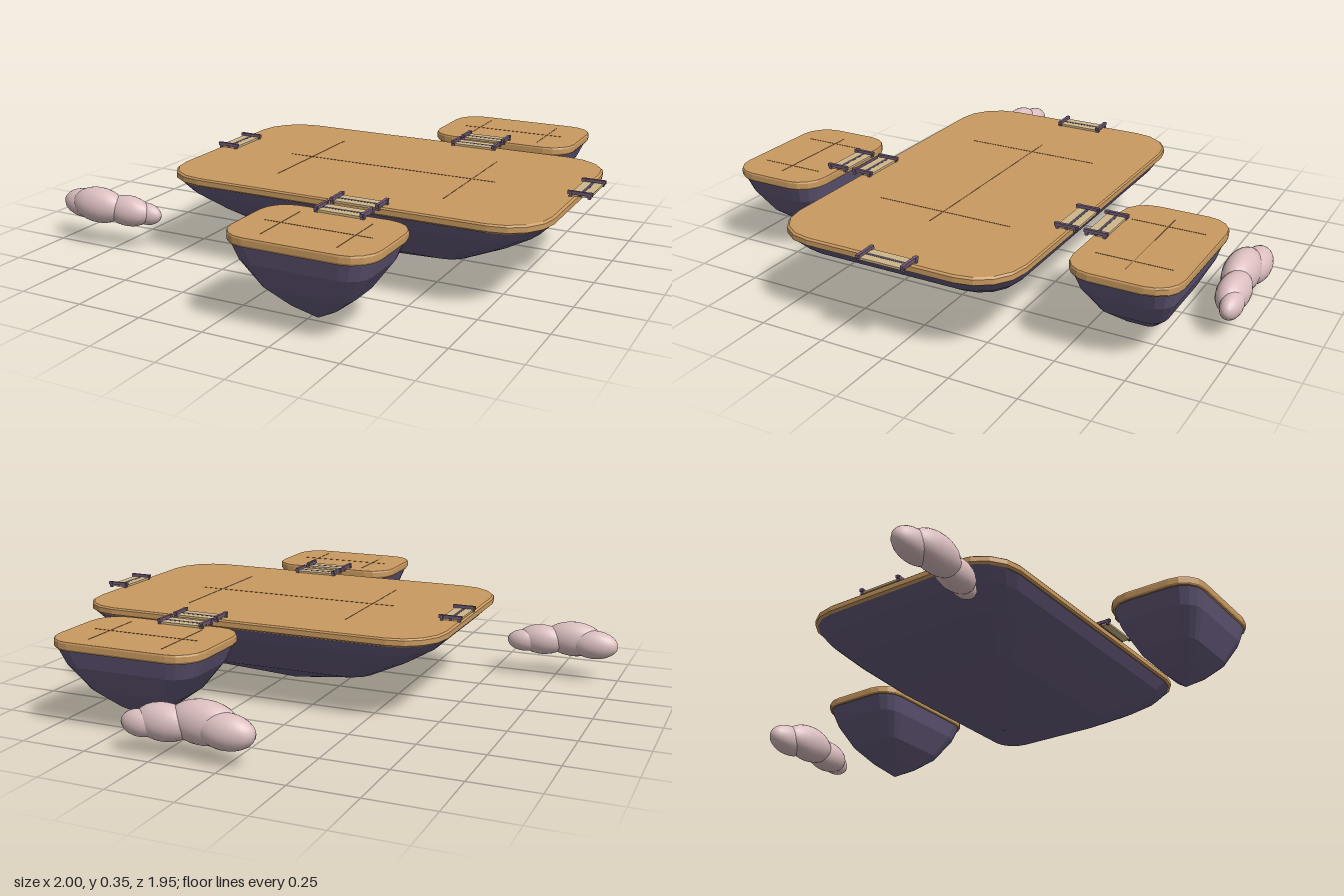
import * as THREE from 'three';

const mat = (name, color, extra = {}) => {
  const m = new THREE.MeshStandardMaterial({ color, ...extra });
  m.name = name;
  return m;
};

// Points of a rounded rectangle in the xz plane
function outline(w, d, r, seg = 4) {
  const pts = [];
  [[1, 1], [-1, 1], [-1, -1], [1, -1]].forEach(([sx, sz], q) => {
    for (let i = 0; i <= seg; i++) {
      const a = (q + i / seg) * Math.PI / 2;
      pts.push([sx * (w / 2 - r) + r * Math.cos(a), sz * (d / 2 - r) + r * Math.sin(a)]);
    }
  });
  return pts;
}

// Flat-shaded skin through scaled copies of an outline, listed from bottom to top as [scale, y]
function loft(pts, rings) {
  const pos = [];
  const at = (k, i) => {
    const [s, y] = rings[k], p = pts[i % pts.length];
    return [p[0] * s, y, p[1] * s];
  };
  for (let k = 0; k < rings.length - 1; k++) {
    for (let i = 0; i < pts.length; i++) {
      const a = at(k, i), b = at(k, i + 1), c = at(k + 1, i), d = at(k + 1, i + 1);
      if (rings[k + 1][0] > 0) pos.push(...b, ...c, ...d);
      if (rings[k][0] > 0) pos.push(...a, ...c, ...b);
      else if (rings[k + 1][0] === 0) continue;
    }
  }
  const g = new THREE.BufferGeometry();
  g.setAttribute('position', new THREE.Float32BufferAttribute(pos, 3));
  g.computeVertexNormals();
  return g;
}

export function createModel() {
  const model = new THREE.Group();
  const rock = mat('purple rock', 0x665b7c, { flatShading: true });
  const ground = mat('orange ground', 0xca9a60, { flatShading: true });
  const seam = mat('ground seam', 0x8a6440);
  const wood = mat('pale planks', 0xcfb688);
  const rail = mat('mauve rails', 0x705a74);
  const dark = mat('dark beam', 0x4d4758);
  const puff = mat('pink cloud', 0xdcbfc0);

  const add = (parent, name, geo, material, x = 0, y = 0, z = 0) => {
    const m = new THREE.Mesh(geo, material);
    m.name = name;
    m.position.set(x, y, z);
    parent.add(m);
    return m;
  };
  const box = (parent, name, w, h, d, material, x, y, z) =>
    add(parent, name, new THREE.BoxGeometry(w, h, d), material, x, y, z);

  // Floating islands: tapering rock under a ground slab
  function island(name, x, z, w, d, r, profile, seams) {
    const g = new THREE.Group();
    g.name = name;
    g.position.set(x, 0, z);
    const pts = outline(w, d, r);
    add(g, 'rock', loft(outline(w - 0.02, d - 0.02, r - 0.01), profile), rock);
    add(g, 'ground', loft(pts, [[0, 0.303], [0.985, 0.303], [1, 0.31], [1, 0.329], [0.99, 0.335], [0, 0.335]]), ground);
    // Thin seams: one lengthwise, two across
    const [half, across, len] = seams;
    box(g, 'longSeam', half * 2, 0.002, 0.003, seam, 0, 0.335, 0);
    for (const s of [-1, 1]) box(g, 'crossSeam', 0.003, 0.002, len, seam, s * across, 0.335, 0);
    model.add(g);
  }
  const broad = [[0, 0], [0.57, 0.11], [0.8, 0.197], [0.94, 0.26], [1, 0.304]];
  const steep = [[0, 0.03], [0.33, 0.08], [0.64, 0.145], [0.9, 0.24], [1, 0.304]];
  island('mainIsland', 0.21, 0.045, 1.46, 0.91, 0.17, broad, [0.42, 0.33, 0.53]);
  island('backIsland', 0.435, -0.695, 0.59, 0.39, 0.1, steep, [0.21, 0.148, 0.27]);
  island('frontIsland', 0.31, 0.787, 0.54, 0.37, 0.1, steep, [0.195, 0.135, 0.25]);

  // Bridge ends: planks between two rails, with a beam along the middle
  function bridgeEnd(x, z, turn) {
    const g = new THREE.Group();
    g.name = 'bridgeEnd';
    g.position.set(x, 0.335, z);
    g.rotation.y = turn;
    for (const s of [-1, 1]) {
      box(g, 'plank', 0.17, 0.008, 0.03, wood, 0, 0.005, s * 0.021);
      box(g, 'rail', 0.011, 0.012, 0.088, rail, s * 0.085, 0.014, 0);
      for (const t of [-1, 1]) box(g, 'post', 0.014, 0.022, 0.01, rail, s * 0.085, 0.009, t * 0.033);
    }
    box(g, 'beam', 0.17, 0.009, 0.012, dark, 0, 0.005, 0);
    model.add(g);
  }
  for (const z of [0.493, 0.605]) bridgeEnd(0.31, z, 0);
  for (const z of [-0.51, -0.4]) bridgeEnd(0.385, z, 0);
  for (const x of [-0.48, 0.952]) bridgeEnd(x, -0.003, Math.PI / 2);

  // Clouds: overlapping ellipsoids given as [x, y, z, rx, ry, rz]
  const puffs = [
    [-0.125, -0.01, -0.02, 0.095, 0.057, 0.05],
    [-0.04, 0, 0, 0.118, 0.07, 0.058],
    [0.085, -0.01, -0.017, 0.1, 0.06, 0.052],
    [0.155, -0.017, -0.035, 0.067, 0.043, 0.035],
  ];
  const ball = new THREE.SphereGeometry(1, 20, 14);
  function cloud(x, y, z, size) {
    const g = new THREE.Group();
    g.name = 'cloud';
    g.position.set(x, y, z);
    g.scale.setScalar(size);
    for (const [px, py, pz, rx, ry, rz] of puffs) add(g, 'puff', ball, puff, px, py, pz).scale.set(rx, ry, rz);
    model.add(g);
  }
  cloud(-0.78, 0.16, 0.482, 1);
  cloud(0.135, 0.128, -0.905, 1.11);

  return model;
}
